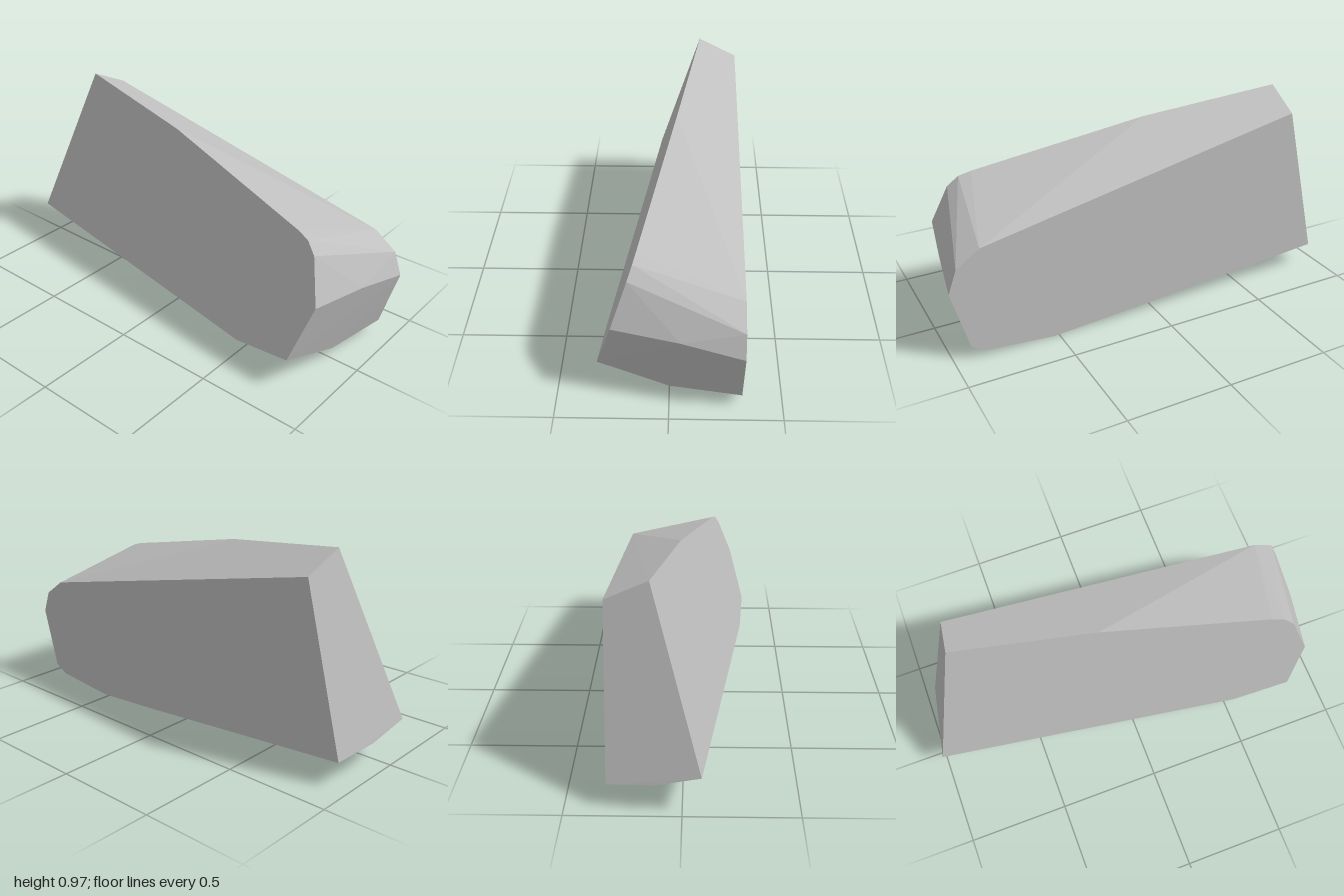
import * as THREE from 'three';
import { ConvexGeometry } from 'three/addons/geometries/ConvexGeometry.js';

export function createModel() {
  const group = new THREE.Group();
  group.name = 'facetedBlock';
  const grey = new THREE.MeshStandardMaterial({ color: 0xbfbfbf });
  grey.name = 'stone grey';

  // Tilted front face: outline in x, y; depth follows one sloping plane
  const front = [
    [-1, 0.195], [-0.77, 0.97], [-0.1, 0.88], [0.72, 0.7], [0.78, 0.68],
    [0.83, 0.63], [0.9, 0.43], [0.82, 0.16], [0.53, 0.115],
  ].map(([x, y]) => new THREE.Vector3(x, y, 0.267 + 0.125 * x - 0.312 * y));

  // Upright, flat back face
  const back = [
    [-0.94, 0.115], [-0.755, 0.88], [0.85, 0.548], [0.96, 0.47], [1, 0.36],
    [0.92, 0.067], [0.85, 0.03], [0.53, 0], [0.2, 0.022],
  ].map(([x, y]) => new THREE.Vector3(x, y, -0.32));

  // Ridge where the underside and right end bend between front and back
  const ridge = [
    [-0.975, 0.14, -0.11], [0.2, 0.046, -0.03], [0.53, 0.025, 0],
    [0.86, 0.057, 0], [0.957, 0.41, -0.05],
  ].map((p) => new THREE.Vector3(...p));

  const block = new THREE.Mesh(new ConvexGeometry([...front, ...back, ...ridge]), grey);
  block.name = 'block';
  group.add(block);
  return group;
}
